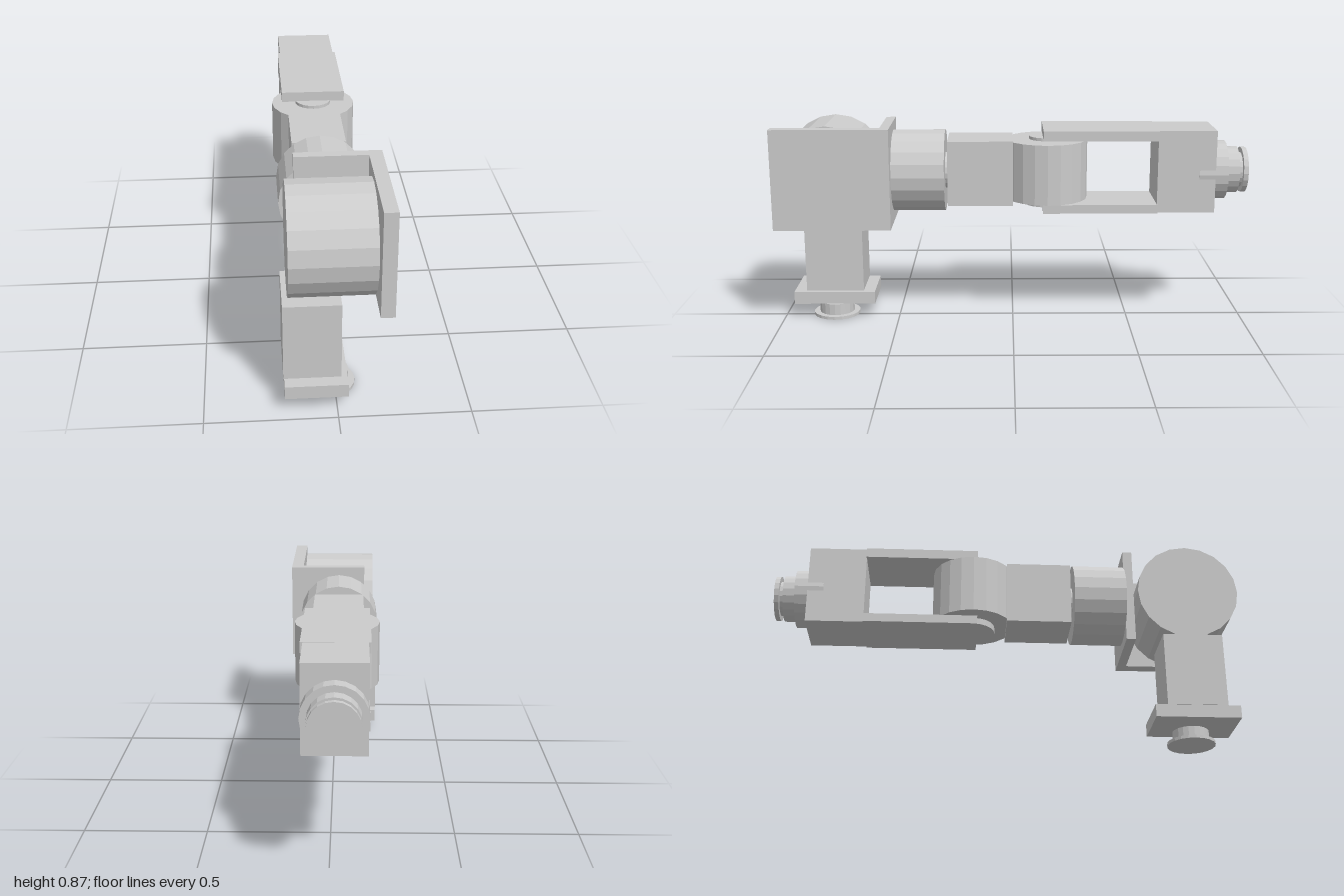
import * as THREE from 'three';

const material = new THREE.MeshStandardMaterial({ color: 0xcccccc, flatShading: true });
const AX = -0.021; // arm axis in x
const AY = 0.649; // arm axis in y
const BASE_Z = 0.78; // shoulder pivot
const ELBOW_Z = -0.145; // elbow pivot

export function createModel() {
  const model = new THREE.Group();
  model.name = 'robotArm';

  const add = (name, geometry) => {
    const mesh = new THREE.Mesh(geometry, material);
    mesh.name = name;
    model.add(mesh);
    return mesh;
  };

  // Box given by its extents
  const box = (name, [x0, x1], [y0, y1], [z0, z1]) =>
    add(name, new THREE.BoxGeometry(x1 - x0, y1 - y0, z1 - z0))
      .position.set((x0 + x1) / 2, (y0 + y1) / 2, (z0 + z1) / 2);

  // Cylinder along one axis, from a to b; u and v are the other two coordinates in xyz order
  const cylinder = (name, axis, radius, a, b, u, v) => {
    const geometry = new THREE.CylinderGeometry(radius, radius, b - a, 20);
    const mid = (a + b) / 2;
    if (axis === 'x') geometry.rotateZ(Math.PI / 2).translate(mid, u, v);
    if (axis === 'y') geometry.translate(u, mid, v);
    if (axis === 'z') geometry.rotateX(Math.PI / 2).translate(u, v, mid);
    return add(name, geometry);
  };

  // Base: foot flange, neck, plate and column
  cylinder('footFlange', 'y', 0.101, 0, 0.013, AX, BASE_Z);
  cylinder('footNeck', 'y', 0.076, 0.013, 0.062, AX, BASE_Z);
  box('basePlate', [-0.197, 0.041], [0.061, 0.115], [0.605, 0.957]);
  box('baseColumn', [-0.2, 0.018], [0.115, 0.433], [0.655, 0.905]);

  // Shoulder drum with its L-shaped bracket
  cylinder('shoulderDrum', 'x', 0.216, -0.18, 0.138, AY, 0.778);
  cylinder('shoulderShaft', 'x', 0.076, 0.13, 0.15, AY, 0.778);
  box('bracketSide', [0.146, 0.199], [0.436, 0.86], [0.51, 1]);
  box('bracketBack', [-0.138, 0.15], [0.436, 0.86], [0.51, 0.55]);

  // Roll joint and upper arm
  cylinder('rollDrum', 'z', 0.175, 0.288, 0.512, AX, AY);
  cylinder('rollShaft', 'z', 0.077, 0.27, 0.295, AX, AY);
  box('upperArm', [-0.132, 0.085], [0.513, 0.79], [0, 0.277]);

  // Elbow drum held between the two fork arms
  cylinder('elbowDrum', 'y', 0.175, 0.53, 0.785, AX, ELBOW_Z);
  cylinder('elbowShaftTop', 'y', 0.075, 0.78, 0.798, AX, ELBOW_Z);
  cylinder('elbowShaftBottom', 'y', 0.095, 0.503, 0.532, AX, ELBOW_Z);
  for (const [name, y0, y1] of [['forkTop', 0.796, 0.838], ['forkBottom', 0.485, 0.522]]) {
    box(name, [-0.154, 0.112], [y0, y1], [-0.612, -0.128]);
  }
  box('forearm', [-0.144, 0.102], [0.486, 0.837], [-0.855, -0.61]);

  // Stepped wrist: radius, start and end along z
  [
    ['wristCollar', 0.126, -0.91, -0.787],
    ['wristRing', 0.1, -0.963, -0.91],
    ['wristNeck', 0.075, -0.982, -0.963],
    ['wristFlange', 0.097, -1, -0.98],
  ].forEach(([name, radius, z0, z1]) => cylinder(name, 'z', radius, z0, z1, AX, AY));

  return model;
}
